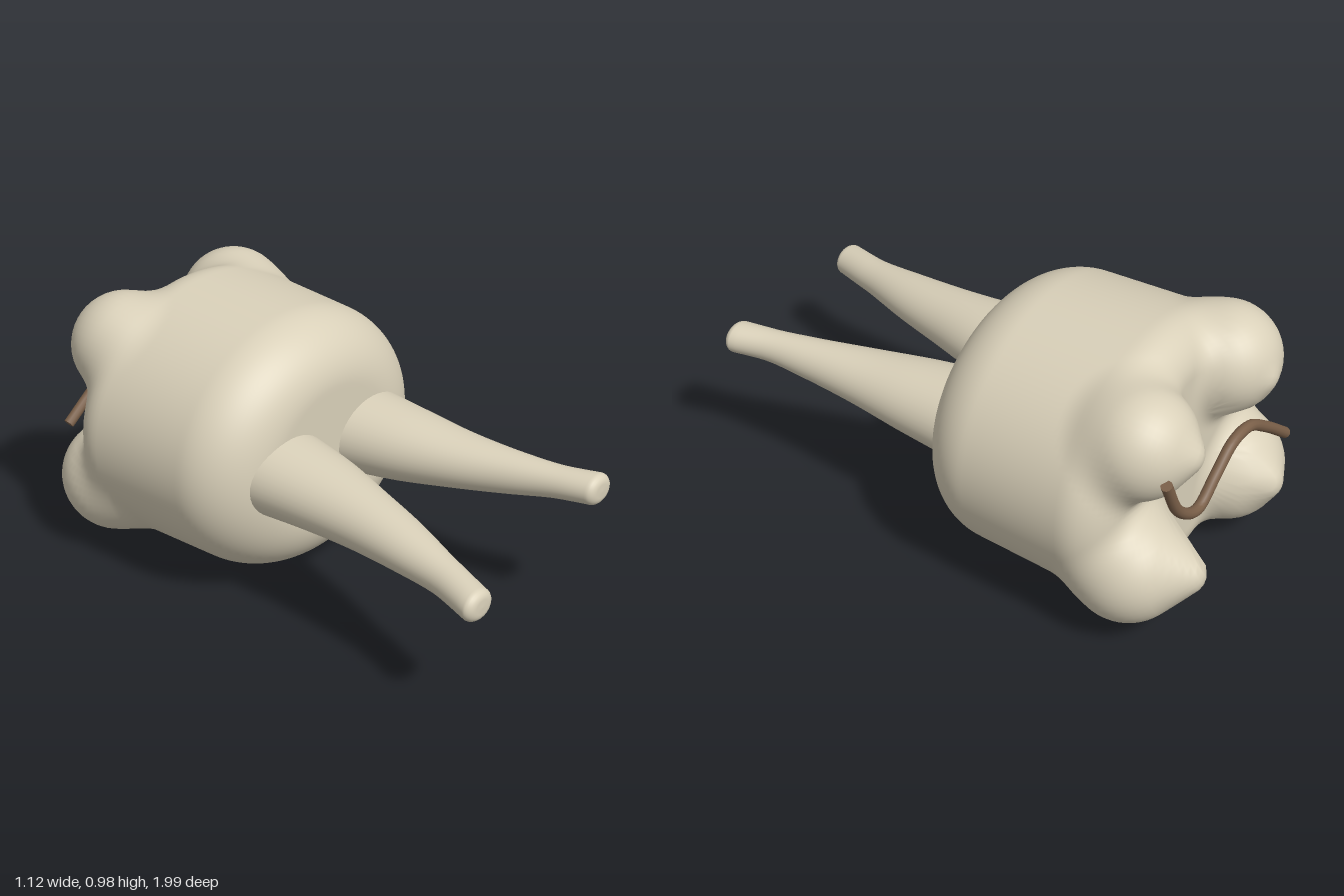
import * as THREE from 'three';

const CENTER = new THREE.Vector3(0, 0.495, -0.42);

// cusps: broad base ball and narrower tip ball, [x, y, baseRadius, tipX, tipY, tipZ]
const CUSPS = [
  [-0.265, 0.765, 0.195, -0.25, 0.755, -0.94],
  [0.285, 0.755, 0.195, 0.265, 0.755, -0.955],
  [-0.335, 0.265, 0.205, -0.3, 0.28, -0.97],
  [0.32, 0.27, 0.205, 0.28, 0.285, -1.0],
];
const TIP_R = 0.075, CUSP_Z = -0.735;

const smin = (a, b, k) => {
  const h = Math.max(k - Math.abs(a - b), 0) / k;
  return Math.min(a, b) - h * h * k * 0.25;
};

// rounded elliptical barrel, slightly wider towards the chewing end
function barrel(x, y, z) {
  const q = Math.hypot(x / 0.56, (y - 0.495) / 0.49) * 0.52;
  const front = z > -0.4;
  const round = front ? 0.23 : 0.16;
  const radius = 0.497 - 0.04 * Math.max(z, -0.65);
  const dq = q - radius + round;
  const dz = Math.abs(z + 0.365) - 0.39 + round;
  return Math.hypot(Math.max(dq, 0), Math.max(dz, 0)) + Math.min(Math.max(dq, dz), 0) - round;
}

// tapered round cone from base ball to tip ball
function cusp(x, y, z, [cx, cy, r, tx, ty, tz]) {
  const ax = tx - cx, ay = ty - cy, az = tz + TIP_R - CUSP_Z;
  const px = x - cx, py = y - cy, pz = z - CUSP_Z;
  let d = Infinity;
  for (let i = 0; i <= 6; i++) {
    const t = i / 6;
    d = Math.min(d, Math.hypot(px - ax * t, py - ay * t, pz - az * t) - (r + (TIP_R - r) * t));
  }
  return d;
}

function crownField(x, y, z) {
  let d = barrel(x, y, z);
  for (const c of CUSPS) d = smin(d, cusp(x, y, z, c), 0.07);
  return d;
}

// sphere pushed along its rays onto the blended crown surface
function crownGeometry() {
  const g = new THREE.SphereGeometry(1, 128, 96).rotateX(Math.PI / 2);
  const p = g.attributes.position, n = g.attributes.normal;
  const d = new THREE.Vector3(), v = new THREE.Vector3();
  const f = (t) => {
    v.copy(d).multiplyScalar(t).add(CENTER);
    return crownField(v.x, v.y, v.z);
  };
  for (let i = 0; i < p.count; i++) {
    d.fromBufferAttribute(p, i).normalize();
    let hi = 0.95;
    while (hi > 0.1 && f(hi - 0.02) > 0) hi -= 0.02;
    let lo = hi - 0.02;
    for (let k = 0; k < 10; k++) {
      const m = (lo + hi) / 2;
      if (f(m) > 0) hi = m; else lo = m;
    }
    f(lo);
    p.setXYZ(i, v.x, v.y, v.z);
    const e = 0.012, { x, y, z } = v;
    d.set(
      crownField(x + e, y, z) - crownField(x - e, y, z),
      crownField(x, y + e, z) - crownField(x, y - e, z),
      crownField(x, y, z + e) - crownField(x, y, z - e)
    ).normalize();
    n.setXYZ(i, d.x, d.y, d.z);
  }
  return g;
}

// root lofted through elliptical sections [z, x, y, rx, ry], with a rounded tip
function rootGeometry(sections) {
  const last = sections[sections.length - 1];
  const curve = new THREE.CatmullRomCurve3(sections.map((s) => new THREE.Vector3(s[1], s[2], s[0])));
  const size = new THREE.CatmullRomCurve3(sections.map((s) => new THREE.Vector3(s[3], s[4], 0)));
  const rings = [];
  for (let i = 0; i <= 24; i++) {
    const c = curve.getPoint(i / 24), s = size.getPoint(i / 24);
    rings.push([c.x, c.y, c.z, s.x, s.y]);
  }
  for (let i = 1; i <= 6; i++) {
    const a = (i / 6) * Math.PI / 2, k = Math.max(0.45 + 0.55 * Math.cos(a), 0);
    rings.push([last[1], last[2], last[0] + 0.03 * Math.sin(a), last[3] * k, last[4] * k]);
  }
  rings.push([last[1], last[2], last[0] + 0.031, 0.0005, 0.0005]);
  const N = 40, pos = [], idx = [];
  rings.forEach(([x, y, z, rx, ry], r) => {
    for (let j = 0; j < N; j++) {
      const a = (j / N) * Math.PI * 2;
      pos.push(x + rx * Math.cos(a), y + ry * Math.sin(a), z);
      if (r === 0) continue;
      const k = (j + 1) % N, A = (r - 1) * N, B = r * N;
      idx.push(A + j, A + k, B + k, A + j, B + k, B + j);
    }
  });
  const g = new THREE.BufferGeometry();
  g.setAttribute('position', new THREE.Float32BufferAttribute(pos, 3));
  g.setIndex(idx);
  g.computeVertexNormals();
  return g;
}

export function createModel() {
  const group = new THREE.Group();
  const ivory = new THREE.MeshStandardMaterial({ name: 'ivory', color: 0xd9d0b9 });
  const brown = new THREE.MeshStandardMaterial({ name: 'brown', color: 0x7b6049 });
  const add = (name, geo, mat) => {
    const m = new THREE.Mesh(geo, mat);
    m.name = name;
    group.add(m);
  };

  // crown with four cusps
  add('crown', crownGeometry(), ivory);

  // two tapering roots
  add('rightRoot', rootGeometry([
    [-0.05, -0.215, 0.495, 0.188, 0.153],
    [0.2, -0.225, 0.49, 0.155, 0.127],
    [0.4, -0.25, 0.485, 0.122, 0.105],
    [0.6, -0.283, 0.478, 0.097, 0.084],
    [0.8, -0.327, 0.468, 0.069, 0.063],
    [0.96, -0.375, 0.458, 0.066, 0.056],
  ]), ivory);
  add('leftRoot', rootGeometry([
    [-0.05, 0.2, 0.495, 0.188, 0.153],
    [0.2, 0.22, 0.5, 0.152, 0.127],
    [0.4, 0.243, 0.508, 0.115, 0.1],
    [0.6, 0.277, 0.52, 0.08, 0.077],
    [0.78, 0.314, 0.535, 0.061, 0.058],
    [0.895, 0.345, 0.542, 0.066, 0.056],
  ]), ivory);

  // wavy groove strand across the chewing side
  const path = new THREE.CatmullRomCurve3([
    [0.4, 0.725, -0.905], [0.31, 0.56, -0.907], [0.19, 0.49, -0.91], [0.08, 0.56, -0.91],
    [-0.02, 0.625, -0.91], [-0.13, 0.625, -0.91], [-0.25, 0.55, -0.912], [-0.4, 0.43, -0.918],
  ].map((p) => new THREE.Vector3(...p)));
  add('grooveStrand', new THREE.TubeGeometry(path, 60, 0.02, 12), brown);
  for (const t of [0, 1]) {
    const cap = new THREE.CircleGeometry(0.02, 12);
    const dir = path.getTangent(t).multiplyScalar(t ? 1 : -1);
    cap.applyQuaternion(new THREE.Quaternion().setFromUnitVectors(new THREE.Vector3(0, 0, 1), dir));
    const c = path.getPoint(t);
    cap.translate(c.x, c.y, c.z);
    add('strandEnd', cap, brown);
  }
  return group;
}
